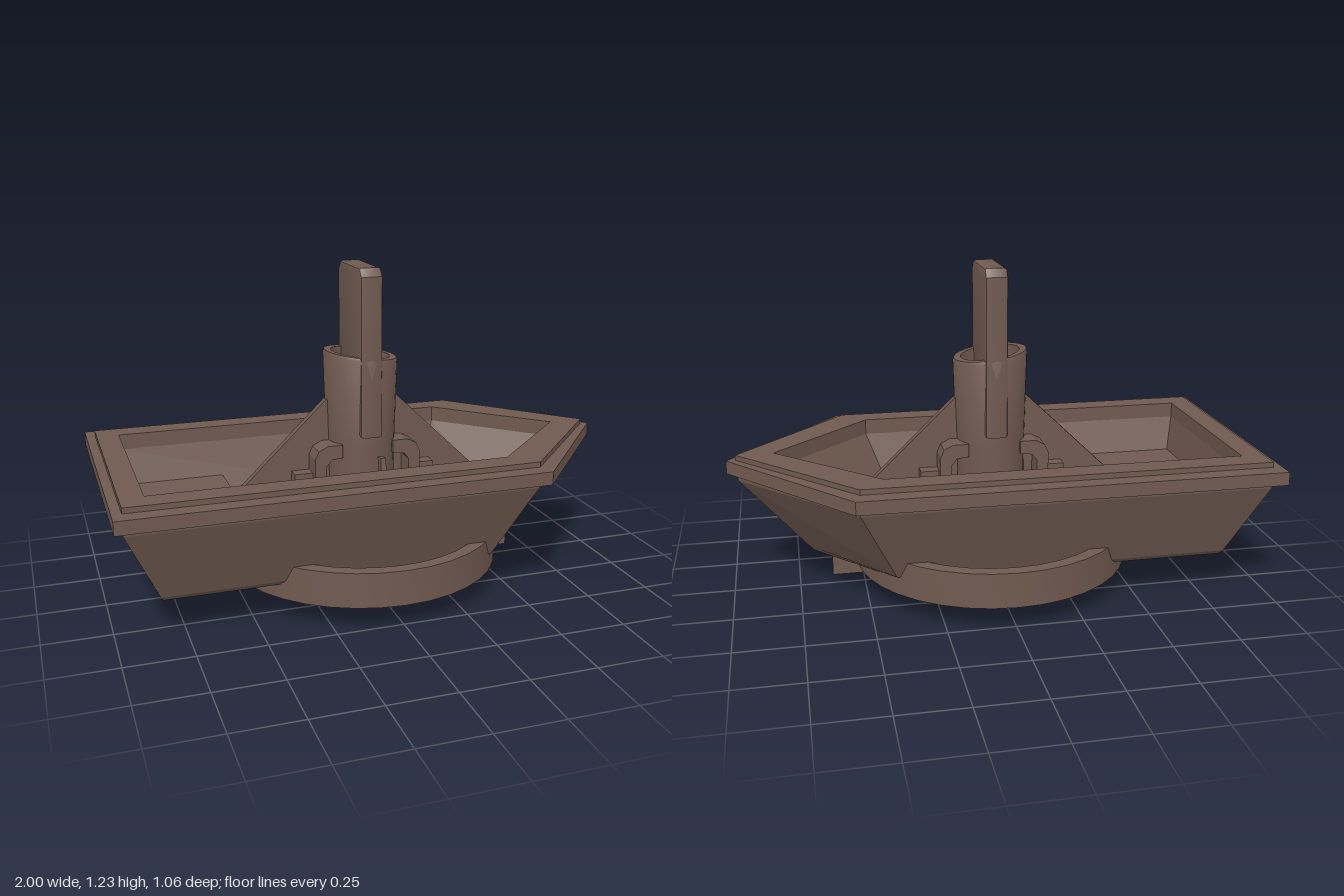
import * as THREE from 'three';
import { toCreasedNormals } from 'three/addons/utils/BufferGeometryUtils.js';

const material = new THREE.MeshStandardMaterial({ color: 0x705a50, side: THREE.DoubleSide });

function add(parent, name, geometry, x = 0, y = 0, z = 0) {
  const mesh = new THREE.Mesh(geometry, material);
  mesh.name = name;
  mesh.position.set(x, y, z);
  parent.add(mesh);
  return mesh;
}

// Box given by its extents
function box(parent, name, x0, x1, y0, y1, z0, z1) {
  return add(parent, name, new THREE.BoxGeometry(x1 - x0, y1 - y0, z1 - z0),
    (x0 + x1) / 2, (y0 + y1) / 2, (z0 + z1) / 2);
}

// Flat outline in x/y extruded symmetrically along z
function plate(points, depth, bevel = 0) {
  const shape = new THREE.Shape(points.map(p => new THREE.Vector2(p[0], p[1])));
  const g = new THREE.ExtrudeGeometry(shape, {
    depth: depth - 2 * bevel, bevelEnabled: bevel > 0,
    bevelSize: bevel, bevelThickness: bevel, bevelOffset: -bevel, bevelSegments: 2,
  });
  return g.translate(0, 0, -depth / 2 + bevel);
}

function lathe(points, segments) {
  const g = new THREE.LatheGeometry(points.map(p => new THREE.Vector2(p[0], p[1])), segments);
  return toCreasedNormals(g, 0.6);
}

// Five-sided boat loops joined from the bottom, over the rim, to the inner floor
function hullGeometry() {
  // y, stern x, shoulder x, bow x, half width
  const loops = [
    [0.145, 0, 0, 0, 0],
    [0.145, -0.83, 0.39, 0.69, 0.33],
    [0.165, -0.84, 0.41, 0.71, 0.35],
    [0.45, -0.965, 0.54, 0.96, 0.463],
    [0.48, -0.97, 0.545, 0.965, 0.465],
    [0.48, -1, 0.56, 1, 0.525],
    [0.53, -1, 0.56, 1, 0.525],
    [0.53, -0.965, 0.54, 0.965, 0.462],
    [0.55, -0.965, 0.54, 0.965, 0.462],
    [0.55, -0.88, 0.45, 0.825, 0.37],
    [0.49, -0.88, 0.45, 0.825, 0.37],
    [0.2, -0.82, 0.34, 0.62, 0.28],
    [0.2, 0, 0, 0, 0],
  ].map(([y, s, c, t, w]) => [[s, y, -w], [c, y, -w], [t, y, 0], [c, y, w], [s, y, w]]);
  const pos = [];
  for (let k = 0; k < loops.length - 1; k++) {
    const a = loops[k], b = loops[k + 1];
    for (let i = 0; i < 5; i++) {
      const j = (i + 1) % 5;
      pos.push(...a[i], ...b[i], ...b[j], ...a[i], ...b[j], ...a[j]);
    }
  }
  const g = new THREE.BufferGeometry();
  g.setAttribute('position', new THREE.Float32BufferAttribute(pos, 3));
  g.computeVertexNormals();
  return g;
}

export function createModel() {
  const model = new THREE.Group();
  model.name = 'boat';

  add(model, 'hull', hullGeometry());
  box(model, 'sternDeck', -0.86, -0.48, 0.19, 0.355, -0.33, 0.33);

  // Ring round the underside
  add(model, 'ring', lathe([[0.48, 0.092], [0.53, 0.092], [0.53, 0.225], [0.48, 0.225], [0.48, 0.092]], 36));

  // Crossbar and the bracket that holds it
  box(model, 'keelBar', -0.63, 0.625, 0.05, 0.15, -0.03, 0.03);
  const bracket = plate([
    [-0.15, 0.36], [-0.15, 0.085], [-0.13, 0.028], [-0.075, 0.003], [0.075, 0.003], [0.13, 0.028],
    [0.15, 0.085], [0.15, 0.36], [0.09, 0.36], [0.09, 0.065], [-0.09, 0.065], [-0.09, 0.36],
  ], 0.17).rotateY(Math.PI / 2);
  add(model, 'bracket', bracket);

  // Mast tube with a sloping, recessed top
  const tube = lathe([[0, 0.2], [0.13, 0.2], [0.132, 0.55], [0.142, 0.89], [0.138, 0.9],
    [0.112, 0.9], [0.108, 0.84], [0, 0.84]], 32);
  const p = tube.attributes.position;
  for (let i = 0; i < p.count; i++) {
    if (p.getY(i) > 0.7) p.setY(i, p.getY(i) - 0.13 * p.getX(i));
  }
  add(model, 'mastTube', tube);

  // Blade standing in the tube
  const blade = plate([[-0.14, 0.6], [0.14, 0.6], [0.14, 1.205], [0.115, 1.235],
    [-0.115, 1.235], [-0.14, 1.205]], 0.086, 0.012).rotateY(Math.PI / 2);
  add(model, 'blade', toCreasedNormals(blade, 0.5));

  // Mirrored fittings fore and aft of the mast
  for (const s of [1, -1]) {
    const side = new THREE.Group();
    side.name = s > 0 ? 'bowFittings' : 'sternFittings';
    side.rotation.y = s > 0 ? 0 : Math.PI;
    model.add(side);

    const end = s > 0 ? 0.62 : 0.5;
    add(side, 'fin', plate([[0.1, 0.19], [end, 0.19], [end, 0.725 - (end - 0.14) * 0.95],
      [0.14, 0.73], [0.1, 0.73]], 0.03));

    add(side, 'clamp', plate([[0.1, 0.57], [0.1, 0.52], [0.145, 0.515], [0.165, 0.49], [0.165, 0.19],
      [0.21, 0.19], [0.21, 0.52], [0.195, 0.552], [0.16, 0.57]], 0.2));
    box(side, 'innerStep', 0.205, 0.28, 0.19, 0.46, -0.065, 0.065);
    box(side, 'outerStep', 0.275, 0.35, 0.19, 0.4, -0.04, 0.04);

    // Thin web across the hull
    add(model, 'crossWeb', plate([[0.1, 0.19], [0.28, 0.19], [0.305, 0.3], [0.29, 0.36],
      [0.1, 0.48]], 0.014).rotateY(-s * Math.PI / 2));
  }

  // Small leaning peg on the front web
  const peg = box(model, 'peg', -0.01, 0.01, 0.32, 0.56, 0.25, 0.285);
  peg.rotation.x = -0.12;
  return model;
}
